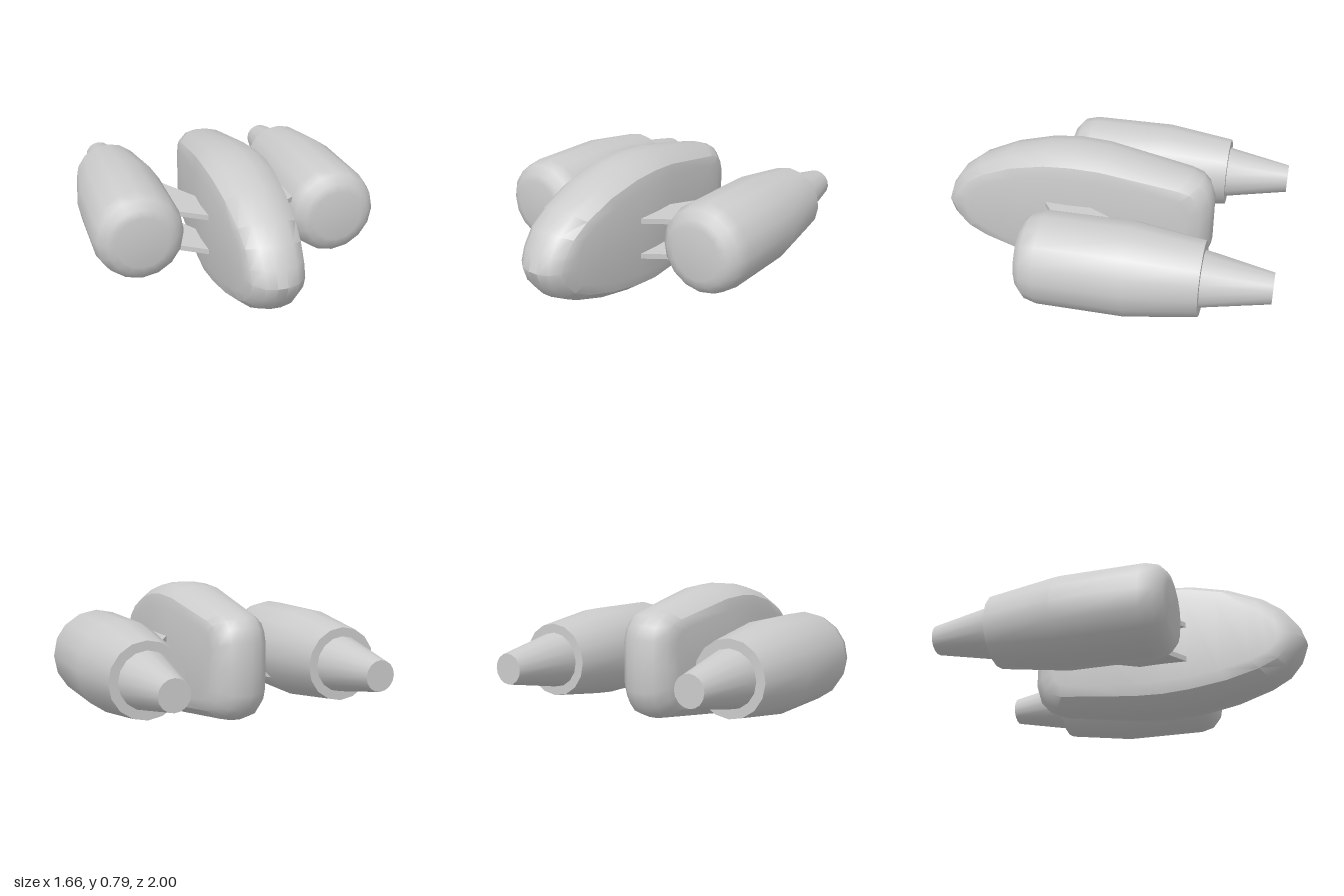
import * as THREE from 'three';
import { toCreasedNormals } from 'three/addons/utils/BufferGeometryUtils.js';

const material = new THREE.MeshStandardMaterial({ color: 0xcccccc });
const CREASE = 0.66;

function addMesh(parent, name, geometry) {
  const mesh = new THREE.Mesh(toCreasedNormals(geometry, CREASE), material);
  mesh.name = name;
  parent.add(mesh);
  return mesh;
}

// Teardrop hull: the side outline is repeated across x, shrinking towards each flank
function hullGeometry() {
  // [z, top y, bottom y] from nose to tail
  const stations = [
    [1, 0.35, 0.35], [0.97, 0.44, 0.265], [0.9, 0.54, 0.18], [0.79, 0.625, 0.12],
    [0.59, 0.715, 0.055], [0.37, 0.77, 0.015], [0.2, 0.785, 0], [0.02, 0.775, 0.01],
    [-0.47, 0.68, 0.08], [-0.54, 0.655, 0.11], [-0.585, 0.605, 0.16],
    [-0.61, 0.53, 0.24], [-0.61, 0.38, 0.38],
  ];
  const last = stations.length - 1;
  const outline = stations.map(([z, top]) => [z, top]);
  for (let i = last - 1; i > 0; i--) outline.push([stations[i][0], stations[i][2]]);
  const count = outline.length;

  // [fraction of half width, inset of the outline]
  const half = [[1, 0.13], [0.92, 0.065], [0.57, 0.015], [0.18, 0]];
  const rings = [...half, ...half.map(([f, d]) => [-f, d]).reverse()];
  const positions = [];
  const index = [];
  for (const [fraction, inset] of rings) {
    for (const [z, y] of outline) {
      const pz = 0.2 + (z - 0.2) * (1 - inset / 0.8);
      const py = 0.39 + (y - 0.39) * (1 - inset / 0.39);
      const width = 0.2 - 0.04 * Math.pow(Math.abs(pz - 0.2) / 0.67, 1.3);
      positions.push(fraction * width, py, pz);
    }
  }
  // Rounded rim
  for (let j = 0; j < rings.length - 1; j++) {
    for (let i = 0; i < count; i++) {
      const a = j * count + i;
      const b = j * count + (i + 1) % count;
      index.push(a, b, a + count, b, b + count, a + count);
    }
  }
  // Flanks, bridged from the upper to the lower edge
  const far = (rings.length - 1) * count;
  for (let i = 0; i < last; i++) {
    const t0 = i, t1 = i + 1;
    const b0 = (count - i) % count, b1 = count - i - 1;
    const triangles = [];
    if (i > 0) triangles.push([t0, b0, t1]);
    if (i < last - 1) triangles.push([t1, b0, b1]);
    if (i === 0) triangles[0] = [t0, b1, t1];
    for (const [a, b, c] of triangles) {
      index.push(a, b, c, far + a, far + c, far + b);
    }
  }
  const geometry = new THREE.BufferGeometry();
  geometry.setAttribute('position', new THREE.Float32BufferAttribute(positions, 3));
  geometry.setIndex(index);
  return geometry;
}

// Engine pod and its exhaust cone as one turned profile along z
function engineGeometry() {
  const profile = [
    [0, -1], [0.084, -1], [0.155, -0.63], [0.206, -0.63], [0.26, -0.24],
    [0.26, 0.24], [0.24, 0.315], [0.195, 0.357], [0.15, 0.368], [0, 0.368],
  ].map(([r, z]) => new THREE.Vector2(r, z));
  return new THREE.LatheGeometry(profile, 16).rotateX(Math.PI / 2);
}

// Swept plate joining hull and engine, ends buried in both
function strutGeometry(side) {
  const shape = new THREE.Shape(
    [[0.15, -0.375], [0.4, -0.206], [0.4, 0.283], [0.15, -0.152]]
      .map(([x, y]) => new THREE.Vector2(side * x, y)),
  );
  return new THREE.ExtrudeGeometry(shape, { depth: 0.03, bevelEnabled: false })
    .rotateX(-Math.PI / 2);
}

export function createModel() {
  const model = new THREE.Group();
  model.name = 'spacecraft';
  addMesh(model, 'hull', hullGeometry());

  for (const [label, side] of [['left', 1], ['right', -1]]) {
    addMesh(model, label + 'Engine', engineGeometry()).position.set(side * 0.572, 0.378, 0);
    addMesh(model, label + 'UpperStrut', strutGeometry(side)).position.y = 0.452;
    addMesh(model, label + 'LowerStrut', strutGeometry(side)).position.y = 0.24;
  }
  return model;
}
